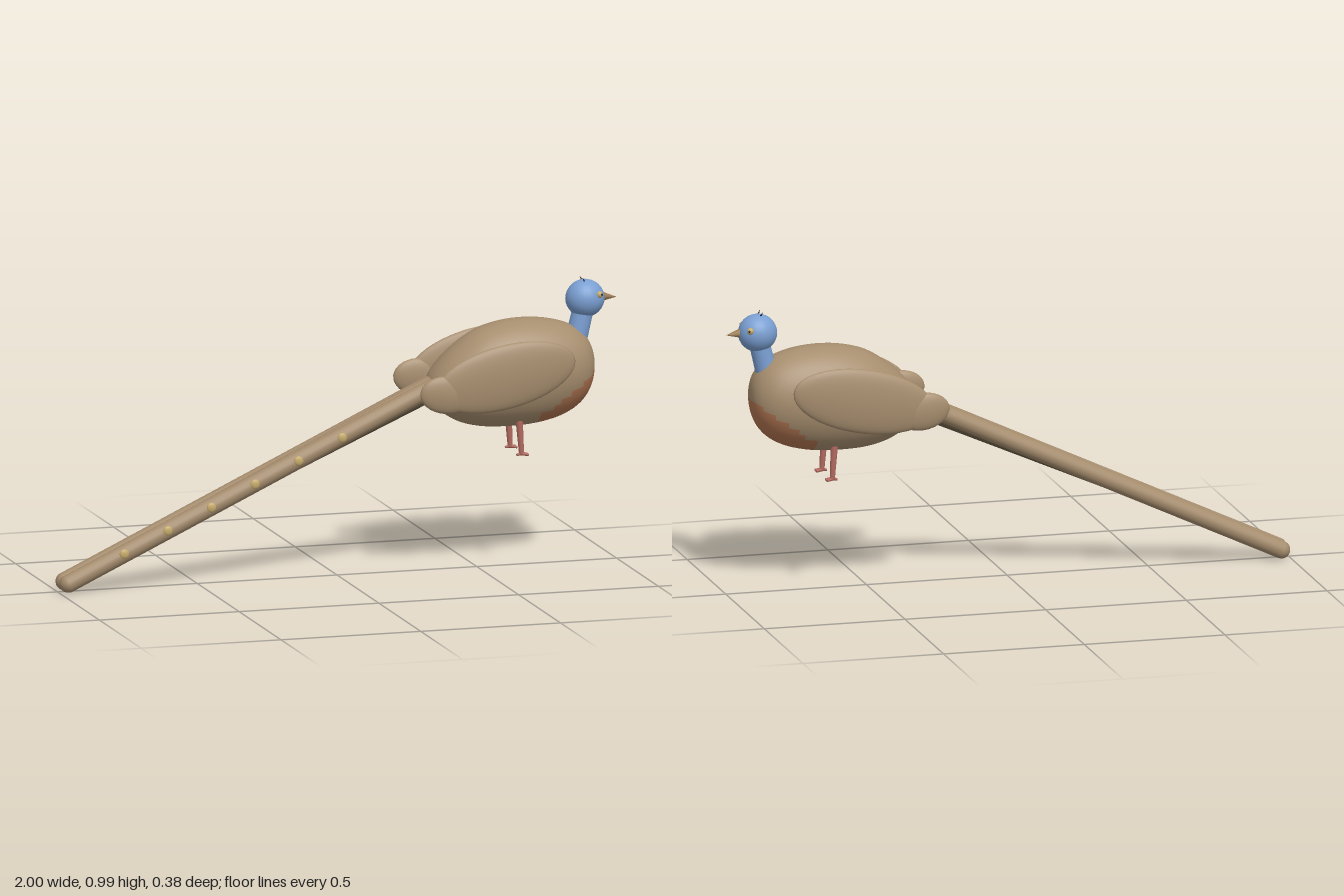
import * as THREE from 'three';

const mat = (name, color) => Object.assign(new THREE.MeshStandardMaterial({ color }), { name });
const V = (x, y, z) => new THREE.Vector3(x, y, z);

export function createModel() {
  const group = new THREE.Group();
  const brown = mat('plumage brown', 0xa68d6e);
  const darkBrown = mat('under tail brown', 0x70604a);
  const rust = mat('chest rust', 0xae7350);
  const blue = mat('head blue', 0x7a9fd2);
  const gold = mat('eye gold', 0xc8ac6c);
  const horn = mat('beak horn', 0xa08058);
  const pink = mat('leg pink', 0xb36a60);
  const black = mat('dark', 0x2a2a30);

  const add = (name, geo, material, parent = group) => {
    const m = new THREE.Mesh(geo, material);
    m.name = name;
    parent.add(m);
    return m;
  };
  const ellipsoid = (name, material, c, r, rotZ = 0, seg = 24) => {
    const m = add(name, new THREE.SphereGeometry(1, seg, Math.round(seg * 0.67)), material);
    m.position.set(...c);
    m.scale.set(...r);
    m.rotation.z = rotZ;
    return m;
  };
  // Places a y-aligned geometry so that it runs from a to b
  const between = (name, geo, material, a, b) => {
    const m = add(name, geo, material);
    m.position.copy(a).lerp(b, 0.5);
    m.quaternion.setFromUnitVectors(V(0, 1, 0), b.clone().sub(a).normalize());
    return m;
  };
  const rod = (name, material, a, b, rBottom, rTop, seg = 12) =>
    between(name, new THREE.CylinderGeometry(rTop, rBottom, a.distanceTo(b), seg), material, a, b);

  // Body: rings along x as [x, centre y, half height, half width]
  const rings = [
    [0.315, 0.635, 0.001, 0.001], [0.33, 0.636, 0.045, 0.055], [0.365, 0.643, 0.085, 0.095],
    [0.42, 0.65, 0.13, 0.12], [0.5, 0.664, 0.168, 0.138], [0.6, 0.674, 0.185, 0.147],
    [0.7, 0.678, 0.184, 0.146], [0.79, 0.681, 0.166, 0.133], [0.85, 0.684, 0.138, 0.112],
    [0.888, 0.687, 0.1, 0.082], [0.908, 0.69, 0.055, 0.047], [0.914, 0.692, 0.001, 0.001],
  ];
  const curves = [0, 1].map(k => new THREE.CatmullRomCurve3(
    rings.map(([x, cy, ry, rz]) => (k ? V(x, cy, rz) : V(x, cy, ry)))));
  const N = 44, S = 48;
  const pos = [], chest = [], feathers = [];
  for (let i = 0; i <= N; i++) {
    const p = curves[0].getPoint(i / N), q = curves[1].getPoint(i / N);
    for (let j = 0; j < S; j++) {
      const a = (j / S) * Math.PI * 2;
      pos.push(p.x, p.y + p.z * Math.cos(a), q.z * Math.sin(a));
    }
  }
  for (let i = 0; i < N; i++) {
    for (let j = 0; j < S; j++) {
      const a = i * S + j, b = i * S + (j + 1) % S, c = b + S, d = a + S;
      const x = (pos[a * 3] + pos[c * 3]) / 2, y = (pos[a * 3 + 1] + pos[c * 3 + 1]) / 2;
      // Rust breast covers the lower front
      const isChest = x > 0.69 && y < 0.535 + (x - 0.7) * 0.7;
      (isChest ? chest : feathers).push(a, b, d, b, c, d);
    }
  }
  const bodyGeo = new THREE.BufferGeometry();
  bodyGeo.setAttribute('position', new THREE.Float32BufferAttribute(pos, 3));
  // Flip winding if the first side face points inward
  const e1 = V().fromArray(pos, (20 * S + 1) * 3).sub(V().fromArray(pos, 20 * S * 3));
  const e2 = V().fromArray(pos, 21 * S * 3).sub(V().fromArray(pos, 20 * S * 3));
  const index = feathers.concat(chest);
  if (e1.cross(e2).y < 0) {
    for (let i = 0; i < index.length; i += 3) [index[i + 1], index[i + 2]] = [index[i + 2], index[i + 1]];
  }
  bodyGeo.setIndex(index);
  bodyGeo.addGroup(0, feathers.length, 0);
  bodyGeo.addGroup(feathers.length, chest.length, 1);
  bodyGeo.computeVertexNormals();
  add('body', bodyGeo, [brown, rust]);

  // Neck, head and beak
  rod('neck', blue, V(0.855, 0.775, 0), V(0.885, 0.9, 0), 0.038, 0.036, 16);
  ellipsoid('head', blue, [0.887, 0.918, 0], [0.068, 0.066, 0.062]);
  between('beak', new THREE.ConeGeometry(0.019, 0.06, 12), horn, V(0.94, 0.921, 0), V(1, 0.916, 0));

  const tailLength = Math.hypot(1.308, 0.613);
  for (const s of [-1, 1]) {
    // Eyes and crest
    ellipsoid('eye', gold, [0.925, 0.937, s * 0.048], [0.012, 0.012, 0.011], 0, 12);
    ellipsoid('pupil', black, [0.931, 0.938, s * 0.057], [0.004, 0.004, 0.003], 0, 8);
    between('crest', new THREE.ConeGeometry(0.005, 0.025, 6), black,
      V(0.885, 0.972, s * 0.014), V(0.872, 0.995, s * 0.02));

    // Wings with a rounded rear lobe
    ellipsoid('wing', brown, [0.553, 0.692, s * 0.164], [0.255, 0.112, 0.027], 0.2, 32);
    ellipsoid('wingTip', brown, [0.345, 0.642, s * 0.162], [0.096, 0.066, 0.022], -0.12);

    // Long tail feathers
    between('tailFeather', new THREE.CapsuleGeometry(0.031, tailLength, 8, 16), brown,
      V(0.34, 0.645, s * 0.023), V(-0.968, 0.032, s * 0.023));

    // Legs and feet
    rod('leg', pink, V(0.64, 0.4, s * 0.068), V(0.632, 0.52, s * 0.066), 0.009, 0.013);
    rod('backToe', pink, V(0.64, 0.402, s * 0.068), V(0.622, 0.398, s * 0.068), 0.007, 0.004, 8);
    for (const t of [-1, 0, 1]) {
      rod('toe', pink, V(0.638, 0.402, s * 0.068), V(0.662, 0.398, s * 0.068 + t * 0.012), 0.007, 0.004, 8);
    }
  }

  // Middle tail feather fills the groove and narrows toward the tip
  rod('middleTailFeather', brown, V(0.34, 0.654, 0), V(-0.52, 0.251, 0), 0.026, 0.016, 16);
  rod('underTailFeather', darkBrown, V(0.36, 0.638, 0), V(-0.9, 0.05, 0), 0.036, 0.008, 16);

  // Eye spots along one side of the tail
  for (let i = 0; i < 6; i++) {
    ellipsoid('tailSpot', gold, [-0.776 + i * 0.156, 0.13 + i * 0.0722, 0.051], [0.017, 0.017, 0.007], 0, 14);
  }
  return group;
}
